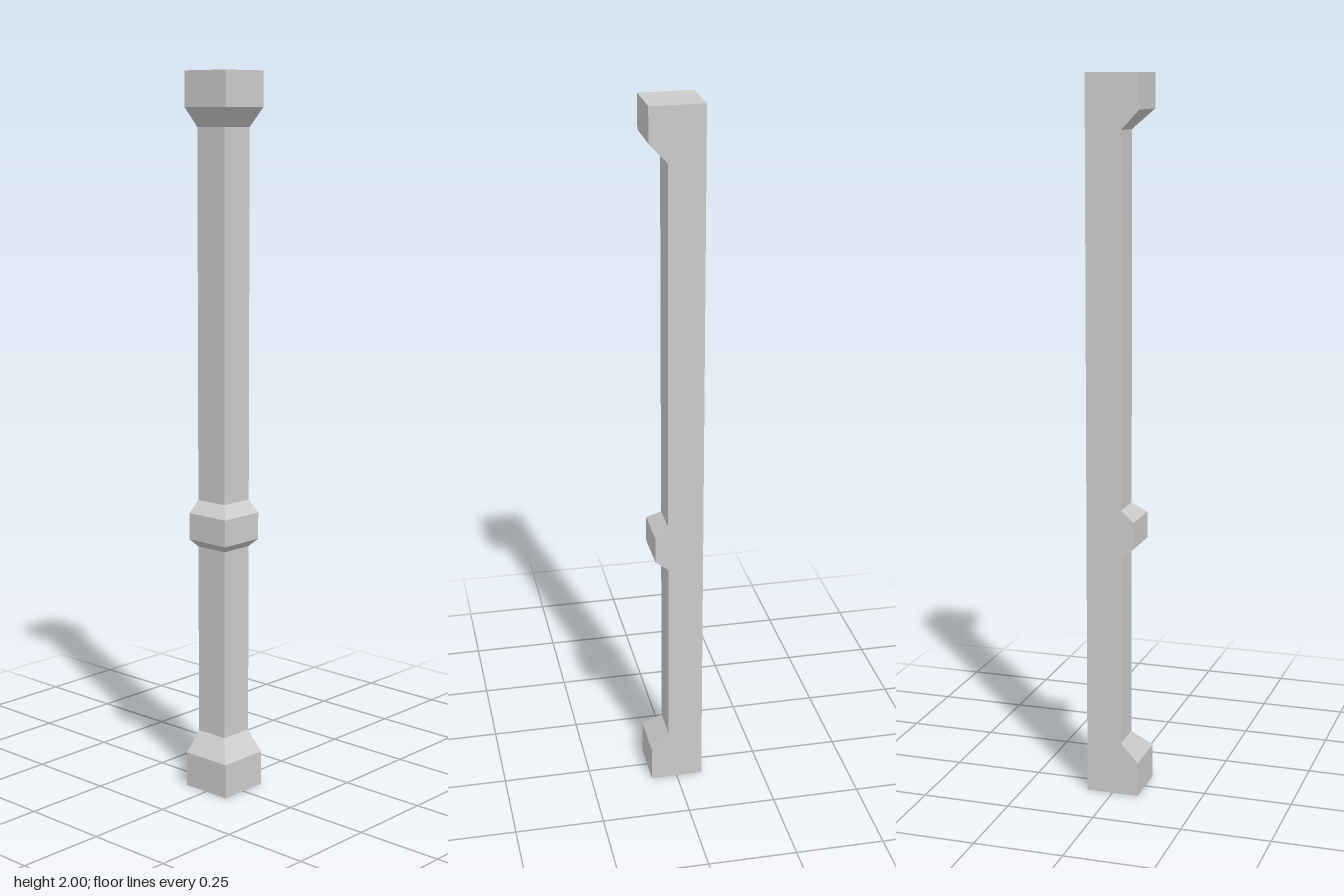
import * as THREE from 'three';

const H = 0.0745; // half width of the base and head; two sides stay flush at -H
const SHAFT = 0.025, COLLAR = 0.061; // outer reach of the slimmer sections

const material = new THREE.MeshStandardMaterial({ color: 0xcccccc, flatShading: true, side: THREE.DoubleSide });

// Skin square sections given as [height, outer reach]; the back and -x sides stay flat
function corner(name, levels, capped = false) {
  const positions = [];
  const rings = levels.map(([y, r]) => [[-H, y, -H], [-H, y, r], [r, y, r], [r, y, -H]]);
  const quad = (a, b, c, d) => positions.push(...a, ...b, ...c, ...a, ...c, ...d);
  for (let i = 0; i < rings.length - 1; i++) {
    const lo = rings[i], hi = rings[i + 1];
    for (let k = 0; k < 4; k++) {
      const n = (k + 1) % 4;
      quad(lo[k], lo[n], hi[n], hi[k]);
    }
  }
  if (capped) quad(...rings[rings.length - 1]);
  const geometry = new THREE.BufferGeometry();
  geometry.setAttribute('position', new THREE.Float32BufferAttribute(positions, 3));
  geometry.computeVertexNormals();
  const mesh = new THREE.Mesh(geometry, material);
  mesh.name = name;
  return mesh;
}

export function createModel() {
  const post = new THREE.Group();
  post.name = 'cornerPost';
  post.add(
    // Hollow base, open underneath, with a sloped shoulder
    corner('base', [[0, H], [0.098, H], [0.152, SHAFT]]),
    corner('lowerShaft', [[0.152, SHAFT], [0.693, SHAFT]]),
    // Bevelled band around the shaft
    corner('collar', [[0.693, SHAFT], [0.72, COLLAR], [0.795, COLLAR], [0.827, SHAFT]]),
    corner('upperShaft', [[0.827, SHAFT], [1.852, SHAFT]]),
    // Closed head
    corner('head', [[1.852, SHAFT], [1.905, H], [2, H]], true),
  );
  return post;
}
